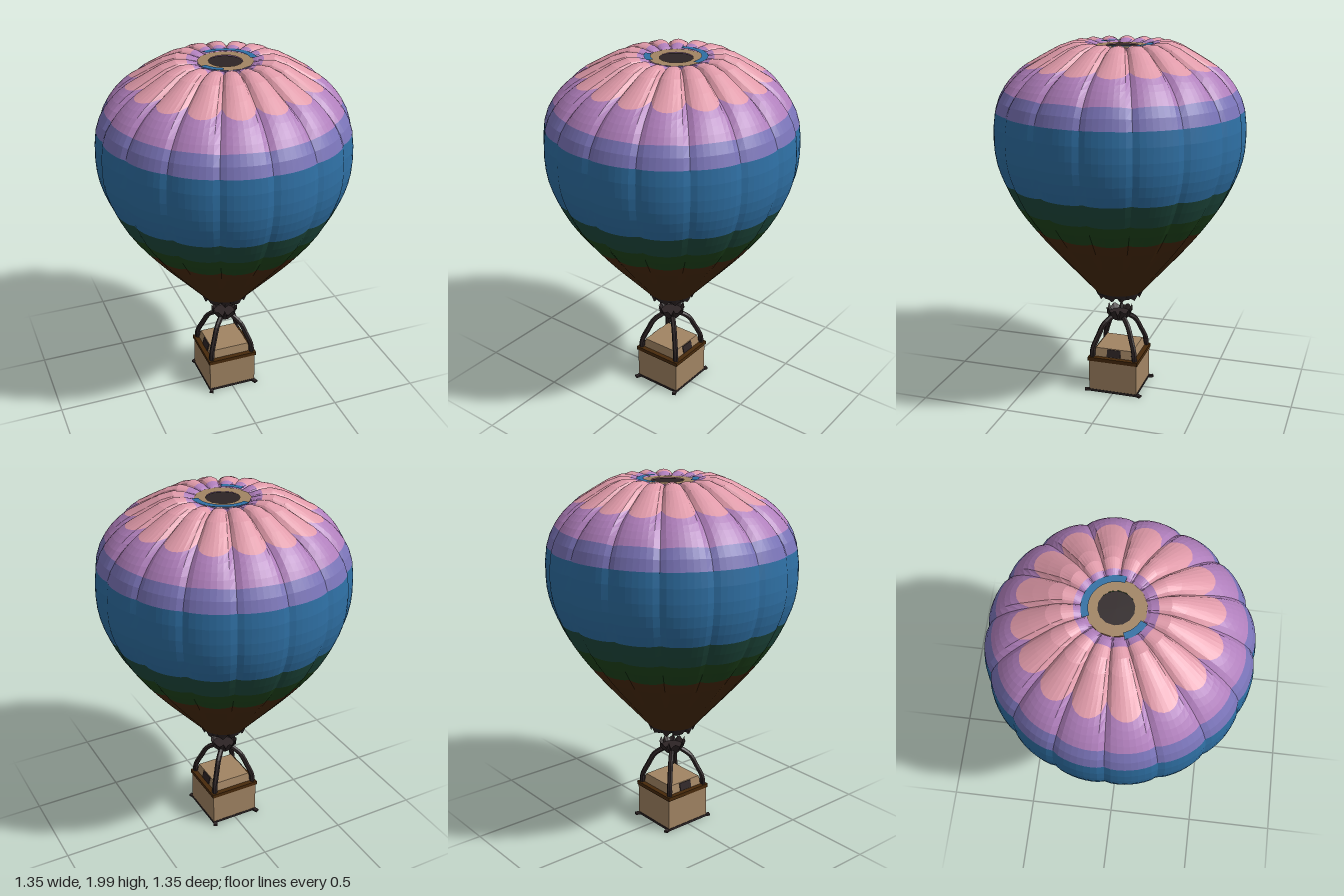
import * as THREE from 'three';

const mat = (name, color) => {
  const m = new THREE.MeshStandardMaterial({ color, flatShading: true, side: THREE.DoubleSide });
  m.name = name;
  return m;
};

const GORES = 16, PER_GORE = 8, SEG = GORES * PER_GORE;

// Envelope profile [radius, height], mouth to crown
const profile = new THREE.SplineCurve([
  [0.14, 0.6], [0.265, 0.74], [0.38, 0.87], [0.485, 1.0], [0.57, 1.125], [0.63, 1.25],
  [0.667, 1.36], [0.68, 1.48], [0.668, 1.635], [0.62, 1.745], [0.53, 1.845], [0.4, 1.925],
  [0.28, 1.985], [0.19, 1.985], [0.14, 1.962],
].map(p => new THREE.Vector2(...p)));
const LAST = 14;

// 0 at a seam, 1 in the middle of a gore
const bulge = a => Math.pow(Math.abs(Math.sin(a * GORES / 2)), 0.55);

// Point on the gored envelope at profile station s and angle a
function envelopePoint(s, a) {
  const t = Math.min(s / LAST, 1);
  const p = profile.getPoint(t), d = profile.getTangent(t);
  const fade = Math.min(1, s / 3, (LAST - s) / 1.5);
  const depth = (0.014 + 0.016 * THREE.MathUtils.smoothstep(s, 7, 11)) * Math.max(fade, 0) * (1 - bulge(a));
  const r = p.x - d.y * depth, y = p.y + d.x * depth;
  const k = THREE.MathUtils.smoothstep(s, 8, 13); // the crown sits a little off centre
  return [r * Math.cos(a) + 0.012 * k, y, r * Math.sin(a) - 0.02 * k];
}

// Surface wrapped around y from a point rule (row fraction, angle)
function wrap(rows, seg, point) {
  const pos = [], idx = [];
  for (let i = 0; i <= rows; i++)
    for (let j = 0; j <= seg; j++) pos.push(...point(i / rows, (j % seg) / seg * Math.PI * 2));
  for (let i = 0; i < rows; i++)
    for (let j = 0; j < seg; j++) {
      const a = i * (seg + 1) + j, c = a + seg + 1;
      idx.push(a, c, a + 1, a + 1, c, c + 1);
    }
  const g = new THREE.BufferGeometry();
  g.setAttribute('position', new THREE.Float32BufferAttribute(pos, 3));
  g.setIndex(idx);
  g.computeVertexNormals();
  return g;
}

export function createModel() {
  const pink = mat('pink', 0xe09aa9), purple = mat('purple', 0xb07fbc), periwinkle = mat('periwinkle', 0x7a74b8);
  const blue = mat('blue', 0x2e6fa3), teal = mat('deep teal green', 0x1f4a3e), green = mat('dark green', 0x1f451c);
  const brown = mat('brown', 0x482a0b), tan = mat('tan', 0xa18463), charcoal = mat('charcoal', 0x2d2425);

  const model = new THREE.Group();
  model.name = 'hotAirBalloon';
  const add = (parent, name, geo, material, x = 0, y = 0, z = 0) => {
    const m = new THREE.Mesh(geo, material);
    m.name = name;
    m.position.set(x, y, z);
    parent.add(m);
    return m;
  };
  const group = name => {
    const g = new THREE.Group();
    g.name = name;
    model.add(g);
    return g;
  };

  // Envelope in coloured bands; the pink cap has a petal edge
  const envelope = group('envelope');
  const petal = a => 10.75 - 0.58 * bulge(a);
  const bands = [
    ['lowerCone', brown, 0, 3], ['greenBand', green, 3, 4], ['tealBand', teal, 4, 5],
    ['blueBand', blue, 5, 8], ['periwinkleBand', periwinkle, 8, 9], ['purpleBand', purple, 9, petal],
    ['petalCap', pink, petal, 12.9], ['crownEdge', purple, 12.9, LAST],
  ];
  const at = (v, a) => (typeof v === 'function' ? v(a) : v);
  for (const [name, material, from, to] of bands) {
    const rows = Math.max(2, Math.round((at(to, 0) - at(from, 0)) * 2));
    add(envelope, name, wrap(rows, SEG, (f, a) =>
      envelopePoint(THREE.MathUtils.lerp(at(from, a), at(to, a), f), a)), material);
  }

  // Crown vent: tan ring, dark opening and slivers of blue cloth
  const flat = g => g.rotateX(-Math.PI / 2);
  add(envelope, 'ventRing', flat(new THREE.RingGeometry(0.088, 0.146, 14)), tan, 0.015, 1.968, -0.02);
  add(envelope, 'ventOpening', flat(new THREE.CircleGeometry(0.09, 32)), charcoal, 0.012, 1.964, -0.02);
  for (const [start, length] of [[-0.2, 2.2], [3.5, 0.8]])
    add(envelope, 'ventSliver', flat(new THREE.RingGeometry(0.13, 0.165, 16, 1, start, length)), blue, 0.013, 1.978, -0.02);

  // Scorched mouth with a ragged hem
  const rag = a => 0.5 + 0.28 * Math.sin(a * 11) + 0.22 * Math.sin(a * 17 + 1);
  add(envelope, 'mouthSkirt', wrap(2, 60, (f, a) => {
    const r = 0.122 + 0.023 * f, y = THREE.MathUtils.lerp(0.582 - 0.03 * rag(a), 0.612, f);
    return [r * Math.cos(a), y, r * Math.sin(a)];
  }), charcoal);
  add(envelope, 'mouthInside', new THREE.CircleGeometry(0.135, 32).rotateX(Math.PI / 2), charcoal, 0, 0.592, 0);

  // Burner crown: narrow collar flaring to torn points
  const burner = group('burner');
  add(burner, 'burnerCrown', wrap(3, 40, (f, a) => {
    const r = 0.04 + 0.035 * f, y = 0.415 + f * (0.038 + 0.045 * rag(a));
    return [r * Math.cos(a), y, r * Math.sin(a)];
  }), charcoal);
  add(burner, 'burnerCore', new THREE.CylinderGeometry(0.06, 0.042, 0.035, 16), charcoal, 0, 0.435, 0);

  // Basket
  const basket = group('basket');
  add(basket, 'basketBody', new THREE.BoxGeometry(0.28, 0.185, 0.28), tan, 0, 0.105, 0);
  add(basket, 'basketFloor', new THREE.BoxGeometry(0.284, 0.014, 0.284), charcoal, 0, 0.008, 0);
  add(basket, 'basketRim', new THREE.BoxGeometry(0.292, 0.022, 0.292), brown, 0, 0.203, 0);
  const lid = new THREE.CylinderGeometry(0.152, 0.168, 0.05, 4).rotateY(Math.PI / 4);
  add(basket, 'basketCover', lid, tan, 0, 0.238, 0);

  for (const sx of [-1, 1]) {
    const patch = add(basket, 'sidePatch', new THREE.BoxGeometry(0.008, 0.044, 0.08), charcoal, sx * 0.114, 0.238, 0);
    patch.rotation.z = sx * 0.22;
    for (const sz of [-1, 1]) {
      // Curved support from a basket corner to the burner
      const path = new THREE.CatmullRomCurve3([
        [0.125, 0.205], [0.122, 0.26], [0.098, 0.33], [0.072, 0.395], [0.035, 0.432],
      ].map(([d, y]) => new THREE.Vector3(sx * d, y, sz * d)));
      add(burner, 'support', new THREE.TubeGeometry(path, 12, 0.015, 6), charcoal);
      add(burner, 'supportFoot', new THREE.SphereGeometry(0.02, 8, 6).scale(0.8, 1.8, 0.8), charcoal,
        sx * 0.122, 0.24, sz * 0.122);
      // Peg at the bottom corner
      const peg = add(basket, 'cornerPeg', new THREE.BoxGeometry(0.022, 0.012, 0.045), charcoal, sx * 0.133, 0.007, sz * 0.145);
      peg.rotation.y = sx * sz * 0.4;
    }
  }
  return model;
}
